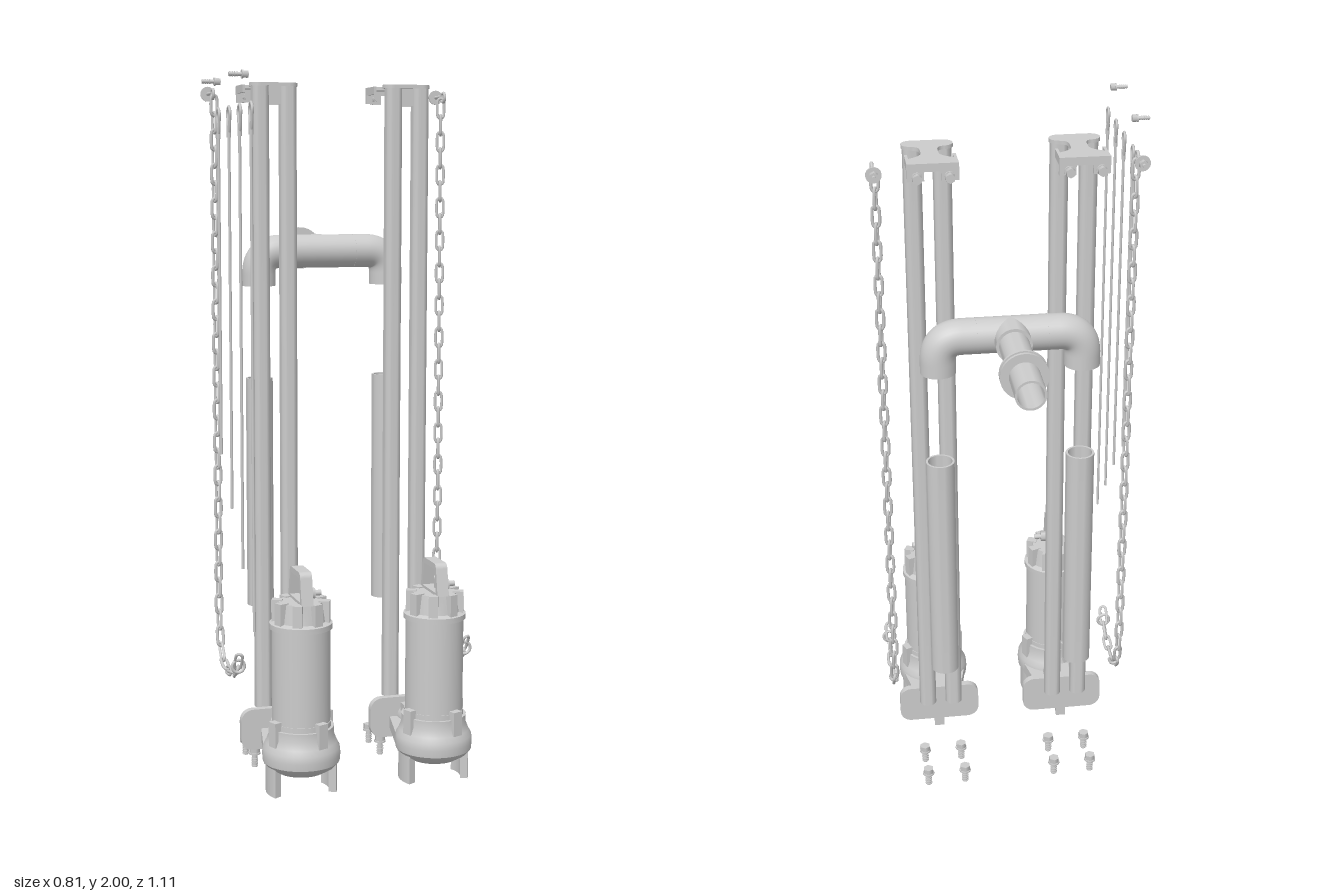
import * as THREE from 'three';
import { toCreasedNormals } from 'three/addons/utils/BufferGeometryUtils.js';

const grey = new THREE.MeshStandardMaterial({ color: 0xcccccc, side: THREE.DoubleSide });
const V = (x, y, z) => new THREE.Vector3(x, y, z);

function add(parent, name, geo, x = 0, y = 0, z = 0) {
  const m = new THREE.Mesh(geo, grey);
  m.name = name;
  m.position.set(x, y, z);
  parent.add(m);
  return m;
}
function group(parent, name, x = 0, y = 0, z = 0) {
  const g = new THREE.Group();
  g.name = name;
  g.position.set(x, y, z);
  parent.add(g);
  return g;
}
const box = (w, h, d) => new THREE.BoxGeometry(w, h, d);
const cyl = (r, h, n = 24, r2 = r) => new THREE.CylinderGeometry(r2, r, h, n);
const cylZ = (r, h, n) => cyl(r, h, n).rotateX(Math.PI / 2);
const cylX = (r, h, n) => cyl(r, h, n).rotateZ(Math.PI / 2);
const lathe = (pts, n = 40) =>
  toCreasedNormals(new THREE.LatheGeometry(pts.map(p => new THREE.Vector2(...p)), n), 0.6);
// open pipe with wall thickness, standing on y = 0
const pipe = (r, ri, h) => lathe([[ri, 0], [r, 0], [r, h], [ri, h], [ri, 0]], 32);
function extrude(shape, depth) {
  return new THREE.ExtrudeGeometry(shape, { depth, bevelEnabled: false, curveSegments: 10 });
}
function roundRect(w, h, r) {
  const s = new THREE.Shape(), a = w / 2 - r, b = h / 2 - r;
  s.absarc(a, b, r, 0, Math.PI / 2);
  s.absarc(-a, b, r, Math.PI / 2, Math.PI);
  s.absarc(-a, -b, r, Math.PI, Math.PI * 1.5);
  s.absarc(a, -b, r, Math.PI * 1.5, Math.PI * 2);
  return s;
}

// screw pointing down from its hex head, tip at y = 0
function screw(parent, name, x, y, z, r = 0.016, len = 0.06) {
  const g = group(parent, name, x, y, z);
  add(g, 'shank', cyl(r * 0.5, len * 0.7, 12), 0, len * 0.35);
  for (let i = 0; i < 4; i++) add(g, 'thread', cyl(r * 0.65, len * 0.04, 12), 0, len * (0.08 + i * 0.12));
  add(g, 'washer', cyl(r * 1.1, len * 0.08, 16), 0, len * 0.7);
  add(g, 'head', cyl(r, len * 0.28, 6), 0, len * 0.86);
  return g;
}

function buildPump(parent) {
  const g = group(parent, 'pump', 0, 0, 0.29);
  add(g, 'casing', lathe([[0, 0.095], [0.07, 0.095], [0.095, 0.11], [0.108, 0.125], [0.11, 0.145], [0.108, 0.165],
    [0.1, 0.18], [0.092, 0.2], [0.092, 0.225], [0.084, 0.225], [0.084, 0.24], [0.082, 0.24], [0.082, 0.505], [0.088, 0.505],
    [0.088, 0.52], [0.07, 0.525], [0.062, 0.58], [0, 0.58]]));
  // clamp lugs around the casing and ribs around the cap
  for (let i = 0; i < 8; i++) {
    const ring = group(g, 'lugs');
    ring.rotation.y = (i + 0.5) * Math.PI / 4;
    if (i % 2 === 0) add(ring, 'casingLug', box(0.03, 0.07, 0.024), 0, 0.215, 0.09);
    add(ring, 'capRib', box(0.026, 0.07, 0.03), 0, 0.548, 0.066);
  }
  // curved side legs
  for (const a of [0, Math.PI]) {
    const s = new THREE.Shape();
    s.absarc(0, 0, 0.1, a - 0.5, a + 0.5, false);
    s.absarc(0, 0, 0.078, a + 0.5, a - 0.5, true);
    add(g, 'leg', extrude(s, 0.085).rotateX(Math.PI / 2), 0, 0.12, 0);
  }
  // tapered outlet with its coupling plate
  const web = new THREE.Shape([[-0.107, 0], [-0.064, -0.205], [0.064, -0.205], [0.107, 0]].map(p => new THREE.Vector2(...p)));
  add(g, 'outletWeb', extrude(web, 0.035).rotateX(Math.PI / 2), 0, 0.155);
  add(g, 'outletPipe', cylZ(0.042, 0.2), 0, 0.152, -0.11);
  add(g, 'outletCollar', box(0.07, 0.1, 0.06), 0, 0.15, -0.16);
  add(g, 'couplingPlate', extrude(roundRect(0.248, 0.12, 0.035), 0.021), 0, 0.153, -0.222);
  const hook = new THREE.Shape([[0, 0], [0.09, 0.05], [0, 0.05]].map(p => new THREE.Vector2(...p)));
  add(g, 'couplingHook', extrude(hook, 0.03).rotateY(-Math.PI / 2), 0.015, 0.055, -0.21);
  // lifting handle
  const h = new THREE.Shape();
  h.moveTo(-0.07, 0);
  h.lineTo(-0.055, 0.075);
  h.quadraticCurveTo(-0.052, 0.09, -0.038, 0.09);
  h.lineTo(0.038, 0.09);
  h.quadraticCurveTo(0.052, 0.09, 0.055, 0.075);
  h.lineTo(0.07, 0);
  const hole = new THREE.Path([[-0.055, 0.008], [0.055, 0.008], [0.042, 0.074], [-0.042, 0.074]].map(p => new THREE.Vector2(...p)));
  h.holes.push(hole);
  add(g, 'handle', extrude(h, 0.034).rotateY(Math.PI / 2), -0.017, 0.58);
  // cable gland on top
  add(g, 'glandDisc', cylX(0.024, 0.012, 20), 0.008, 0.602, 0.01);
  add(g, 'glandNut', cylX(0.016, 0.02, 6), 0.026, 0.602, 0.01);
  add(g, 'glandTip', cylX(0.008, 0.025, 12), 0.042, 0.602, 0.01);
}

function buildBracket(parent) {
  const g = group(parent, 'railBracket', 0, 2, 0);
  // dumbbell-shaped top plate, drawn in x and z
  const s = new THREE.Shape();
  s.moveTo(-0.067, -0.16);
  s.lineTo(0.067, -0.16);
  s.lineTo(0.067, -0.118);
  s.quadraticCurveTo(0.023, -0.1, 0.023, -0.07);
  s.lineTo(0.023, -0.042);
  s.quadraticCurveTo(0.025, -0.018, 0.045, -0.017);
  s.absarc(0.042, 0.011, 0.027, -Math.PI / 2, Math.PI / 2);
  s.absarc(-0.042, 0.011, 0.027, Math.PI / 2, Math.PI * 1.5);
  s.quadraticCurveTo(-0.025, -0.018, -0.023, -0.042);
  s.lineTo(-0.023, -0.07);
  s.quadraticCurveTo(-0.023, -0.1, -0.067, -0.118);
  add(g, 'topPlate', extrude(s, 0.01).rotateX(Math.PI / 2));
  add(g, 'backFlange', box(0.134, 0.022, 0.01), 0, -0.011, -0.155);
  add(g, 'railStop', box(0.034, 0.05, 0.03), 0, -0.034, 0.012);
  for (const sx of [-1, 1]) {
    add(g, 'flangeTab', box(0.045, 0.045, 0.01), sx * 0.045, -0.024, -0.155);
    add(g, 'sideGusset', box(0.008, 0.022, 0.075), sx * 0.063, -0.011, -0.118);
    screw(g, 'wallScrew', sx * 0.042, -0.033, -0.13, 0.013, 0.06).rotation.x = -Math.PI / 2;
  }
}

function buildChain(parent, side) {
  const g = group(parent, 'liftingChain', side * 0.146, 0, 0);
  const path = new THREE.CatmullRomCurve3([V(0, 1.965, -0.098), V(0, 1.4, -0.095), V(0, 0.8, -0.092), V(0, 0.43, -0.088),
    V(0, 0.35, -0.06), V(0, 0.32, 0.0), V(0, 0.325, 0.07), V(0, 0.345, 0.125), V(0, 0.4, 0.165)], false, 'centripetal');
  const loop = [];
  for (let i = 0; i < 12; i++) {
    const a = i * Math.PI / 6 + Math.PI / 12;
    loop.push(V(0.009 * Math.cos(a), 0.009 * Math.sin(a) + Math.sign(Math.sin(a)) * 0.02, 0));
  }
  const link = new THREE.TubeGeometry(new THREE.CatmullRomCurve3(loop, true), 24, 0.0045, 6, true);
  const n = Math.round(path.getLength() / 0.049);
  for (let i = 0; i < n; i++) {
    const u = (i + 0.5) / n, t = path.getTangentAt(u), x = V(1, 0, 0);
    const m = add(g, 'chainLink', link);
    m.quaternion.setFromRotationMatrix(new THREE.Matrix4().makeBasis(x, t, x.clone().cross(t)));
    m.rotateY((i % 2) * Math.PI / 2 + 0.3 * side);
    m.position.copy(path.getPointAt(u));
  }
  add(g, 'endShackle', new THREE.TorusGeometry(0.018, 0.0045, 8, 20), 0, 0.365, 0.15);
  // wall hook carrying the chain
  const x = side * 0.005;
  add(g, 'hookWasher', cylZ(0.021, 0.005, 20), x, 1.975, -0.157);
  add(g, 'hookNut', cylZ(0.012, 0.014, 6), x, 1.975, -0.168);
  add(g, 'hookStem', cylZ(0.005, 0.09, 10), x, 1.975, -0.14);
  add(g, 'hookEye', new THREE.TorusGeometry(0.013, 0.0045, 8, 18).rotateY(Math.PI / 2), x, 1.972, -0.09);
}

function buildStation(parent, x, side) {
  const g = group(parent, 'pumpStation', x);
  buildPump(g);
  buildBracket(g);
  buildChain(g, side);
  for (const sx of [-1, 1]) {
    add(g, 'guideRail', pipe(0.0255, 0.021, 1.79), sx * 0.04, 0.2, 0.016);
    for (const z of [-0.026, -0.14]) screw(g, 'floorBolt', sx * 0.057, 0, z);
  }
  add(g, 'risingPipe', pipe(0.04, 0.034, 0.69), 0, 0.46, -0.17);
}

function buildManifold(parent, xl, xr) {
  const g = group(parent, 'dischargeManifold', 0, 1.523, -0.17), b = 0.065;
  // two elbows joined by a straight run
  const path = new THREE.CurvePath();
  path.add(new THREE.LineCurve3(V(xl, -0.1, 0), V(xl, -b, 0)));
  path.add(new THREE.QuadraticBezierCurve3(V(xl, -b, 0), V(xl, 0, 0), V(xl + b, 0, 0)));
  path.add(new THREE.LineCurve3(V(xl + b, 0, 0), V(xr - b, 0, 0)));
  path.add(new THREE.QuadraticBezierCurve3(V(xr - b, 0, 0), V(xr, 0, 0), V(xr, -b, 0)));
  path.add(new THREE.LineCurve3(V(xr, -b, 0), V(xr, -0.1, 0)));
  for (const r of [0.049, 0.041]) add(g, 'crossPipe', new THREE.TubeGeometry(path, 100, r, 28));
  for (const x of [xl, xr])
    add(g, 'elbowRim', new THREE.RingGeometry(0.041, 0.049, 28).rotateX(Math.PI / 2), x, -0.1, 0);
  for (const x of [-0.07, 0.122]) add(g, 'jointSeam', cylX(0.0495, 0.003, 28), x);
  const xm = (xl + xr) / 2;
  const along = geo => geo.rotateX(-Math.PI / 2);
  add(g, 'teeBranch', along(pipe(0.049, 0.036, 0.082)), xm);
  add(g, 'outletPipe', along(pipe(0.041, 0.035, 0.364)), xm, 0, -0.02);
  for (const z of [-0.247, -0.265]) add(g, 'flange', along(pipe(0.064, 0.036, 0.009)), xm, 0, z);
}

// hanging cable with a teardrop eye
function buildCable(parent, z, bottom) {
  const g = group(parent, 'cable', -0.36, 0, z);
  add(g, 'cableWire', cyl(0.004, 1.86 - bottom, 8), 0, (1.86 + bottom) / 2);
  add(g, 'cableClamp', cyl(0.006, 0.03, 8), 0, 1.855);
  const eye = new THREE.CatmullRomCurve3([V(0, 1.85, 0), V(0, 1.885, 0.011), V(0, 1.906, 0.014), V(0, 1.92, 0),
    V(0, 1.906, -0.014), V(0, 1.885, -0.011)], true);
  add(g, 'cableEye', new THREE.TubeGeometry(eye, 30, 0.004, 6, true));
}

export function createModel() {
  const model = new THREE.Group();
  model.name = 'twinPumpInstallation';
  const xl = -0.167, xr = 0.226;
  buildStation(model, xl, -1);
  buildStation(model, xr, 1);
  buildManifold(model, xl, xr);
  [[0.536, 0.57], [0.413, 0.71], [0.292, 0.85], [0.167, 0.98]].forEach(([z, y]) => buildCable(model, z, y));
  // wall screws above the cables
  for (const z of [0.508, 0.192]) screw(model, 'cableScrew', -0.41, 1.989, z, 0.01, 0.05).rotation.z = -Math.PI / 2;
  return model;
}
